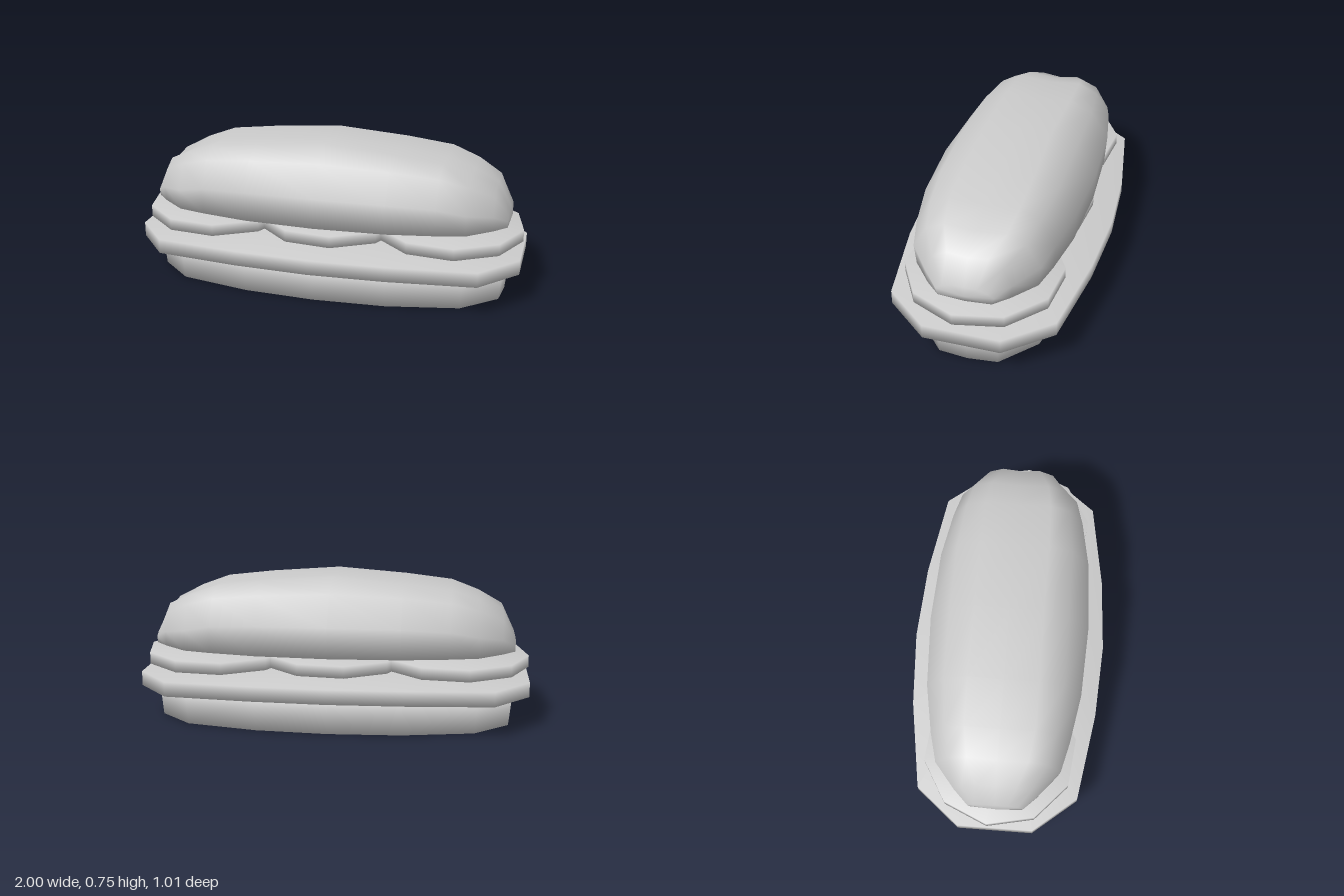
import * as THREE from 'three';

const material = new THREE.MeshStandardMaterial({ color: 0xcccccc });

// Skin a row of equal-length rings, closing both ends with a fan to a centre point.
function loft(name, rings, startCentre, endCentre) {
  const n = rings[0].length;
  const points = [...rings.flat(), startCentre, endCentre];
  const start = points.length - 2, end = points.length - 1;
  const last = (rings.length - 1) * n;
  const index = [];
  for (let j = 0; j < n; j++) {
    const k = (j + 1) % n;
    for (let r = 0; r < last; r += n) {
      const a = r + j, b = r + k, c = a + n, d = b + n;
      index.push(a, c, b, b, c, d);
    }
    index.push(start, j, k, end, last + k, last + j);
  }
  const geometry = new THREE.BufferGeometry();
  geometry.setAttribute('position', new THREE.Float32BufferAttribute(points.flat(), 3));
  geometry.setIndex(index);
  geometry.computeVertexNormals();
  const mesh = new THREE.Mesh(geometry, material);
  mesh.name = name;
  return mesh;
}

// Mirror a quarter outline (from +x to +z) into a full loop of [x, z].
function mirrorOutline(quarter) {
  const half = [...quarter, ...quarter.slice(0, -1).reverse().map(([x, z]) => [-x, z])];
  const back = half.slice().reverse().map(([x, z]) => [x, -z]);
  return [...half, ...back].filter(([x, z], i, all) =>
    all.findIndex(([u, v]) => Math.abs(u - x) < 1e-6 && Math.abs(v - z) < 1e-6) === i);
}

// Lay an outline out as a ring whose height depends on x.
const ringAt = (outline, height, scale = 1) =>
  outline.map(([x, z]) => [x * scale, height(x), z * scale]);

// Loaf-shaped upper bun, lofted along x with a shallow groove down the middle.
function makeTopBun() {
  // x, base half-width, side y, shoulder z, shoulder y, crown z, crown y, underside y
  const stations = [
    [0, 0.405, 0.54, 0.30, 0.69, 0.17, 0.755, 0.355],
    [0.36, 0.387, 0.535, 0.295, 0.675, 0.175, 0.727, 0.36],
    [0.6, 0.345, 0.52, 0.27, 0.65, 0.17, 0.70, 0.365],
    [0.74, 0.31, 0.49, 0.24, 0.61, 0.15, 0.65, 0.37],
    [0.86, 0.21, 0.46, 0.17, 0.55, 0.10, 0.59, 0.373],
    [0.925, 0.14, 0.42, 0.11, 0.44, 0.06, 0.455, 0.375],
  ];
  const section = ([x, w, sideY, sz, sy, cz, cy, under]) => {
    const half = [[w - 0.01, 0.385], [w, sideY], [sz, sy], [cz, cy]];
    const mirrored = half.slice().reverse().map(([z, y]) => [-z, y]);
    const dip = cy > 0.5 ? 0.014 : 0;
    return [...half, [0, cy - dip], ...mirrored, [0, under]].map(([z, y]) => [x, y, z]);
  };
  const left = stations.map(section);
  const right = stations.slice(1).reverse().map(([x, ...rest]) => section([-x, ...rest]));
  return loft('topBun', [...right, ...left], [-0.935, 0.41, 0], [0.935, 0.41, 0]);
}

// Thin ten-sided round slice, slightly domed on both faces.
function makeSlice(name, x) {
  const outline = Array.from({ length: 10 }, (_, i) => {
    const a = (6 + i * 36) * Math.PI / 180;
    return [0.385 * Math.cos(a), 0.39 * Math.sin(a)];
  });
  const slice = loft(name, [ringAt(outline, () => 0.285), ringAt(outline, () => 0.345)],
    [0, 0.277, 0], [0, 0.354, 0]);
  slice.position.x = x;
  return slice;
}

export function createModel() {
  const group = new THREE.Group();
  group.name = 'sandwich';

  // Lower bun
  const bun = mirrorOutline([[0.93, 0], [0.915, 0.15], [0.74, 0.31], [0.37, 0.385], [0, 0.405]]);
  group.add(loft('bottomBun',
    [ringAt(bun, () => 0.002, 0.985), ringAt(bun, x => 0.17 - 0.028 * x * x)],
    [0, 0, 0], [0, 0.178, 0]));

  // Wide filling, drooping toward both ends
  const filling = mirrorOutline([[1, 0.19], [0.82, 0.41], [0.38, 0.48], [0, 0.503]]);
  const droop = x => 0.184 - 0.018 * x * x;
  group.add(loft('filling', [ringAt(filling, droop), ringAt(filling, x => droop(x) + 0.075)],
    [0, 0.18, 0], [0, 0.27, 0]));

  // Three overlapping slices
  const slices = new THREE.Group();
  slices.name = 'slices';
  [['rightSlice', -0.617], ['middleSlice', 0], ['leftSlice', 0.617]]
    .forEach(([name, x]) => slices.add(makeSlice(name, x)));
  group.add(slices);

  group.add(makeTopBun());
  return group;
}
